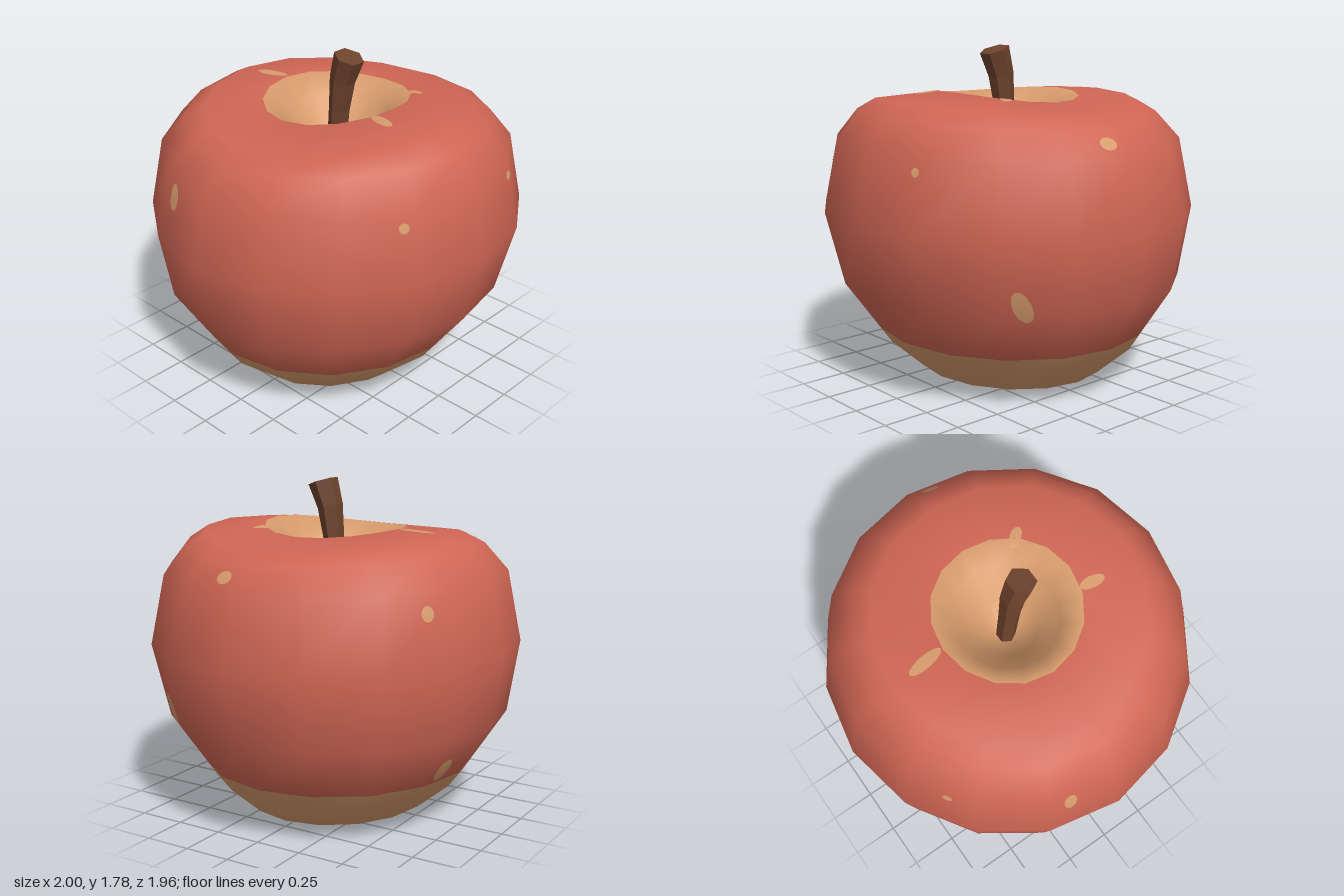
import * as THREE from 'three';

const SIDES = 16;

// Fruit rings from the underside pit to the stem hollow:
// [radius x, radius z, height, z shift, saddle amount, forward tilt]
const RINGS = [
  [0, 0, 0.19, -0.02, 0, 0],
  [0.06, 0.055, 0.16, -0.02, 0, 0],
  [0.15, 0.13, 0.07, -0.02, 0, 0],
  [0.35, 0.30, 0, -0.02, 0, 0],
  [0.54, 0.485, 0.05, -0.025, 0, 0],
  [0.71, 0.66, 0.2, -0.03, 0, 0],
  [0.763, 0.718, 0.285, -0.028, 0, 0], // colour boundary
  [0.93, 0.90, 0.55, -0.02, 0, 0],
  [1.0, 0.98, 0.93, 0, 0.01, 0],
  [0.925, 0.905, 1.295, 0, 0.02, 0],
  [0.80, 0.79, 1.435, 0.01, 0.02, 0],
  [0.70, 0.69, 1.487, 0.01, 0.028, 0.008],
  [0.39, 0.375, 1.522, 0, 0.018, 0.012], // rim of the hollow
  [0.28, 0.27, 1.43, 0, 0, 0],
  [0.16, 0.155, 1.28, 0, 0, 0],
  [0.06, 0.06, 1.2, 0, 0, 0],
  [0, 0, 1.19, 0, 0, 0],
];
const SPLIT = 6, RIM = 12;

function fruitGeometry() {
  const pos = [], index = [], last = RINGS.length - 1;
  for (const [rx, rz, y, dz, saddle, tilt] of RINGS) {
    for (let j = 0; j < SIDES; j++) {
      const a = (j / SIDES) * Math.PI * 2;
      pos.push(rx * Math.sin(a), y + saddle * Math.cos(2 * a) + tilt * Math.cos(a), dz + rz * Math.cos(a));
    }
  }
  for (let i = 0; i < last; i++) {
    for (let j = 0; j < SIDES; j++) {
      const k = (j + 1) % SIDES;
      const a = i * SIDES + j, b = i * SIDES + k, c = a + SIDES, d = b + SIDES;
      if (i > 0) index.push(a, b, d);
      if (i < last - 1) index.push(a, d, c);
      else index.push(a, b, c);
      if (i === last - 1) index.splice(-6, 3);
    }
  }
  const g = new THREE.BufferGeometry();
  g.setAttribute('position', new THREE.Float32BufferAttribute(pos, 3));
  g.setIndex(index);
  g.computeVertexNormals();
  // clean normals at both poles and along the flat colour boundary
  const n = g.attributes.normal, p = new THREE.Vector3(), q = new THREE.Vector3();
  for (let j = 0; j < SIDES; j++) {
    n.setXYZ(j, 0, -1, 0);
    n.setXYZ(last * SIDES + j, 0, 1, 0);
    p.fromBufferAttribute(n, (SPLIT - 1) * SIDES + j);
    q.fromBufferAttribute(n, (SPLIT + 1) * SIDES + j);
    p.lerp(q, 0.25).normalize();
    n.setXYZ(SPLIT * SIDES + j, p.x, p.y, p.z);
  }
  // tan base, red skin, tan hollow; the first row holds one triangle per side
  const start = (row) => SIDES * 3 * (2 * row - 1);
  g.addGroup(0, start(SPLIT), 1);
  g.addGroup(start(SPLIT), start(RIM) - start(SPLIT), 0);
  g.addGroup(start(RIM), index.length - start(RIM), 1);
  return g;
}

// Thin elliptical patch laid onto the fruit along the inward ray -n
function spotGeometry(fruit, centre, n, u, v, rx, ry, tilt) {
  const ray = new THREE.Raycaster(), pos = [], nor = [], index = [], N = 12;
  const add = (a, b) => {
    const x = a * Math.cos(tilt) - b * Math.sin(tilt), y = a * Math.sin(tilt) + b * Math.cos(tilt);
    const o = centre.clone().addScaledVector(u, x).addScaledVector(v, y).addScaledVector(n, 2);
    ray.set(o, n.clone().negate());
    const hit = ray.intersectObject(fruit)[0];
    const m = hit.normal.clone().normalize();
    const p = hit.point.clone().addScaledVector(m, 0.005);
    pos.push(p.x, p.y, p.z);
    nor.push(m.x, m.y, m.z);
  };
  add(0, 0);
  for (const s of [0.5, 1]) {
    for (let k = 0; k < N; k++) {
      const a = (k / N) * Math.PI * 2;
      add(rx * s * Math.cos(a), ry * s * Math.sin(a));
    }
  }
  for (let k = 0; k < N; k++) {
    const a = 1 + k, b = 1 + ((k + 1) % N);
    index.push(0, a, b, a, a + N, b + N, a, b + N, b);
  }
  const g = new THREE.BufferGeometry();
  g.setAttribute('position', new THREE.Float32BufferAttribute(pos, 3));
  g.setAttribute('normal', new THREE.Float32BufferAttribute(nor, 3));
  g.setIndex(index);
  return g;
}

// Bent six-sided stem, widening toward a slanted tip
function stemGeometry() {
  // [height, z, radius, slant]
  const rows = [[1.17, -0.01, 0.05, 0], [1.45, 0.015, 0.055, 0], [1.625, 0.038, 0.066, 0.25], [1.755, 0.083, 0.077, 0.3]];
  const g = new THREE.CylinderGeometry(1, 1, 1, 6, 3, false, Math.PI / 6);
  const p = g.attributes.position;
  for (let i = 0; i < p.count; i++) {
    const [y, z, r, slant] = rows[Math.round((p.getY(i) + 0.5) * 3)];
    const dz = p.getZ(i) * r;
    p.setXYZ(i, p.getX(i) * r, y - dz * slant, z + dz);
  }
  g.computeVertexNormals();
  return g;
}

export function createModel() {
  const red = new THREE.MeshStandardMaterial({ color: 0xd06654 });
  red.name = 'red skin';
  const tan = new THREE.MeshStandardMaterial({ color: 0xd89c6c });
  tan.name = 'tan';
  const brown = new THREE.MeshStandardMaterial({ color: 0x6e432d, flatShading: true });
  brown.name = 'stem brown';

  const model = new THREE.Group();
  model.name = 'apple';
  const add = (geometry, material, name, parent = model) => {
    const mesh = new THREE.Mesh(geometry, material);
    mesh.name = name;
    parent.add(mesh);
    return mesh;
  };

  const fruit = add(fruitGeometry(), [red, tan], 'fruit');
  add(stemGeometry(), brown, 'stem');

  const spots = new THREE.Group();
  spots.name = 'spots';
  model.add(spots);
  const up = new THREE.Vector3(0, 1, 0);

  // Spots around the sides: [x, y, z, half width, half height, tilt]
  for (const [x, y, z, rx, ry, tilt] of [
    [-0.41, 1.215, 0.8, 0.026, 0.026, 0],
    [0.34, 1.235, 0.87, 0.023, 0.023, 0],
    [0.74, 0.61, 0.55, 0.045, 0.09, 0.45],
    [0.84, 1.35, 0.1, 0.047, 0.028, 0],
    [0.46, 1.205, -0.78, 0.033, 0.038, 0],
    [0.22, 0.37, -0.77, 0.055, 0.065, 0],
    [-0.9, 1.18, -0.25, 0.035, 0.07, 0],
    [-0.55, 1.21, -0.75, 0.026, 0.026, 0],
  ]) {
    const n = new THREE.Vector3(x, 0, z).normalize();
    const u = new THREE.Vector3(n.z, 0, -n.x);
    add(spotGeometry(fruit, new THREE.Vector3(x, y, z), n, u, up, rx, ry, tilt), tan, 'sideSpot', spots);
  }

  // Streaks running out from the hollow: [x, z, half width, half length, tilt]
  const right = new THREE.Vector3(1, 0, 0), back = new THREE.Vector3(0, 0, -1);
  for (const [x, z, rx, ry, tilt] of [
    [0, -0.48, 0.033, 0.1, 0.12],
    [-0.13, 0.42, 0.032, 0.07, -0.1],
    [0.295, 0.26, 0.03, 0.055, 0.7],
  ]) {
    add(spotGeometry(fruit, new THREE.Vector3(x, 1.5, z), up, right, back, rx, ry, tilt), tan, 'topStreak', spots);
  }
  return model;
}
